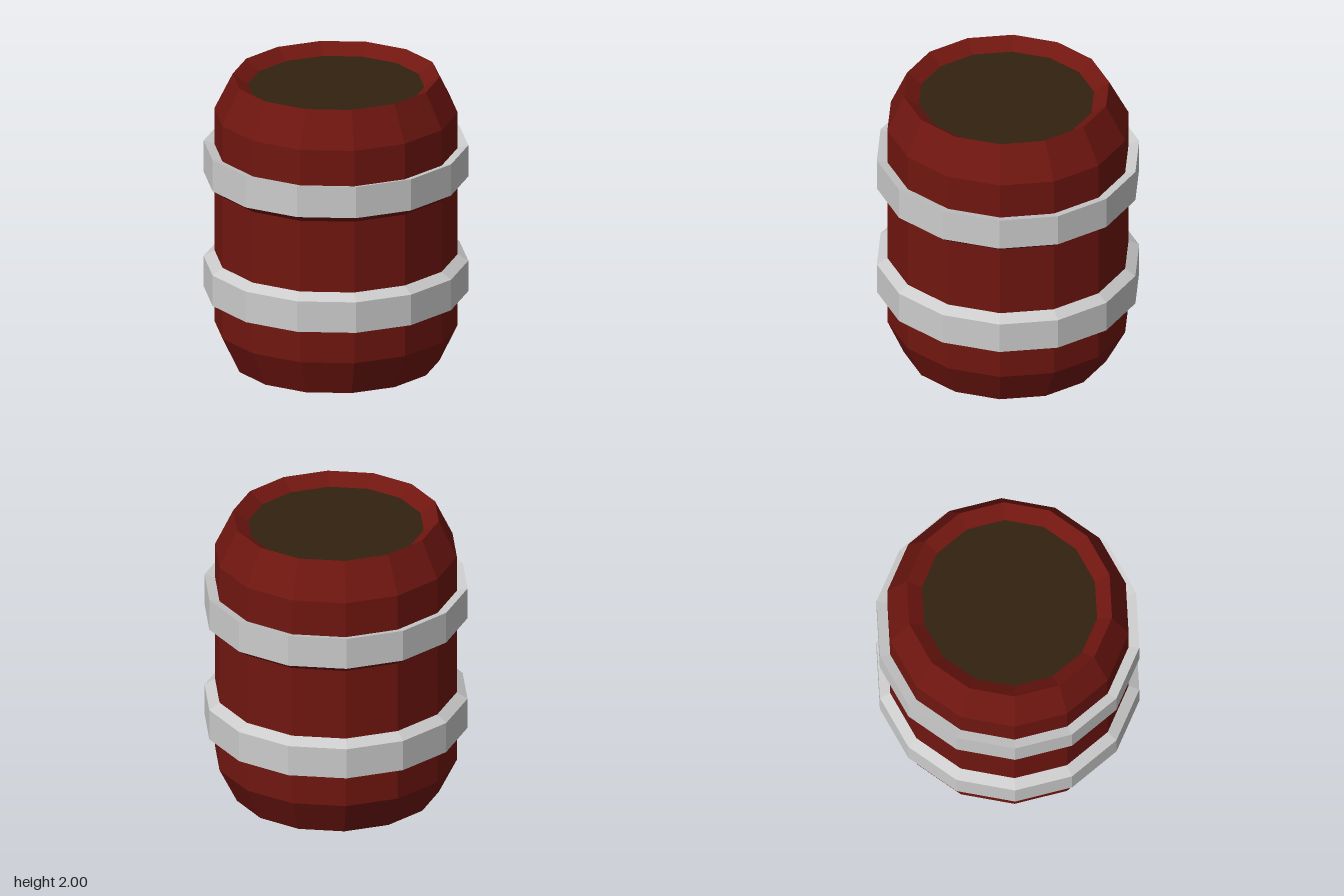
import * as THREE from 'three';

const SIDES = 14;
const RED = 0x701610, GREY = 0xcccccc, BROWN = 0x33210f;

// Faceted ring-shaped section from a [radius, height] profile, listed bottom to top
function section(name, color, profile) {
  const points = profile.map(([r, y]) => new THREE.Vector2(r, y));
  const geometry = new THREE.LatheGeometry(points, SIDES);
  const pos = geometry.attributes.position;
  for (let i = 0; i < pos.count; i++) {
    const x = pos.getX(i), z = pos.getZ(i);
    // Slightly oval plan, with the two tapered ends a touch off-centre
    const shift = Math.hypot(x, z) < 0.75 ? 0.007 : 0;
    pos.setX(i, x * 0.98 + shift);
    pos.setZ(i, z + shift);
  }
  const material = new THREE.MeshStandardMaterial({ color, flatShading: true });
  const mesh = new THREE.Mesh(geometry, material);
  mesh.name = name;
  return mesh;
}

export function createModel() {
  const barrel = new THREE.Group();
  barrel.name = 'barrel';

  const body = 0.82, hoop = 0.892, end = 0.697, lid = 0.595, lidHeight = 1.93;

  barrel.add(
    // Closed base and lower taper, ending under the lower hoop
    section('lowerBody', RED, [[0, 0], [end, 0], [body, 0.25], [body, 0.5], [hoop, 0.49]]),
    section('lowerHoop', GREY, [[hoop, 0.49], [hoop, 0.705], [body, 0.75]]),
    // Straight middle, flaring out under the upper hoop
    section('middleBody', RED, [[body, 0.75], [body, 1.25], [hoop, 1.3]]),
    section('upperHoop', GREY, [[hoop, 1.3], [hoop, 1.52], [body, 1.5]]),
    // Upper taper and the rim sloping in to the recessed lid
    section('upperBody', RED, [[body, 1.5], [body, 1.75], [end, 2], [lid, lidHeight]]),
    section('lid', BROWN, [[lid, lidHeight], [0, lidHeight]]),
  );
  return barrel;
}
